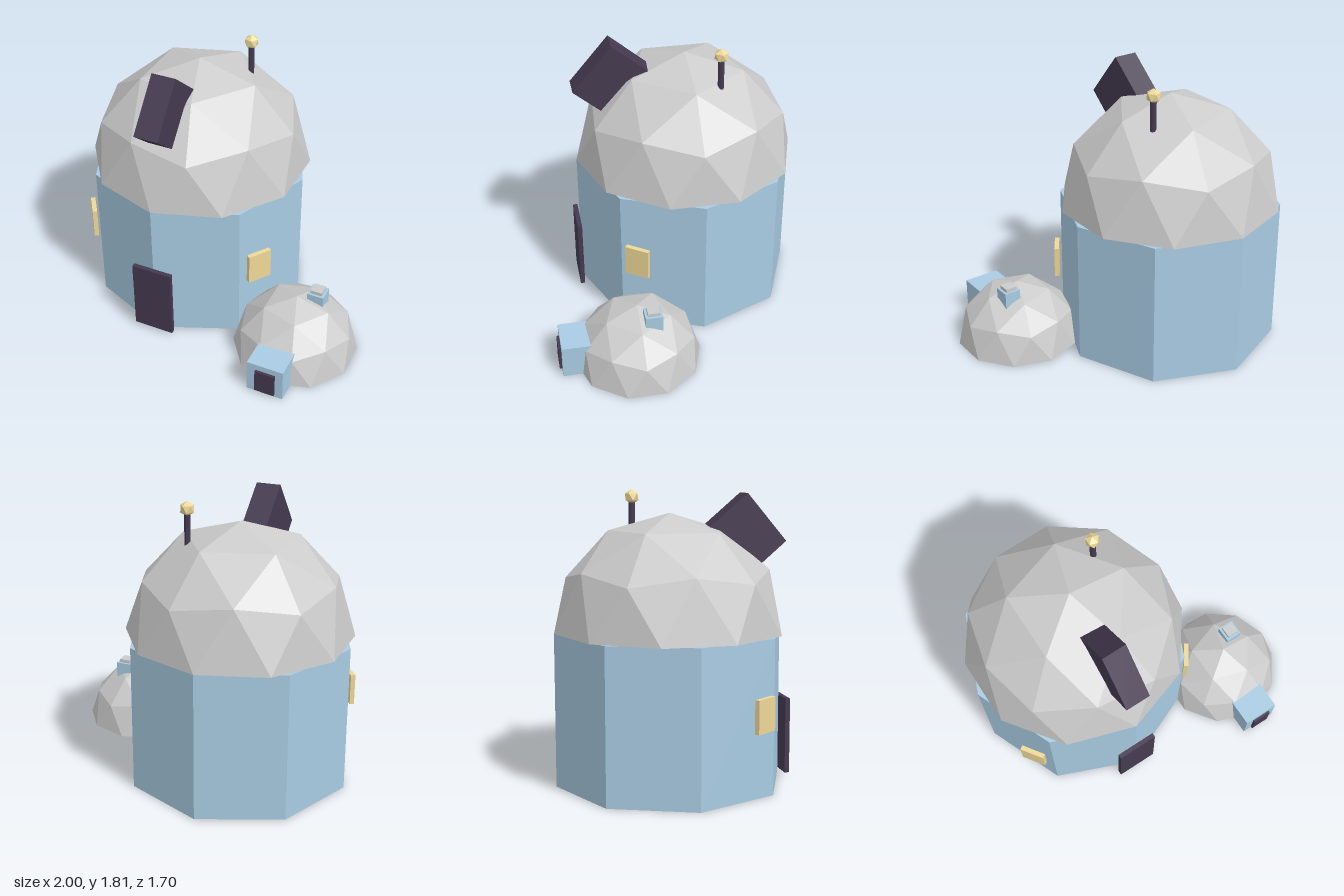
import * as THREE from 'three';

const mat = (color) => new THREE.MeshStandardMaterial({ color, flatShading: true });

// Icosphere with one vertex straight up and an upper-ring vertex on +x
function poleIcosphere(radius, detail) {
  const geo = new THREE.IcosahedronGeometry(radius, detail);
  geo.rotateZ(-Math.atan2(1, (1 + Math.sqrt(5)) / 2));
  return geo;
}

// Faceted dome: the lower half is pressed flat to form the floor
function domeGeometry(radius) {
  const geo = poleIcosphere(radius, 1);
  const pos = geo.attributes.position;
  for (let i = 0; i < pos.count; i++) pos.setY(i, Math.max(0, pos.getY(i)));
  geo.computeVertexNormals();
  return geo;
}

export function createModel() {
  const model = new THREE.Group();
  model.name = 'observatory';
  const grey = mat(0xcccccc);
  const blue = mat(0xa9cce3);
  const dark = mat(0x453a50);
  const gold = mat(0xeed898);

  const add = (name, geo, material, x, y, z, parent = model) => {
    const mesh = new THREE.Mesh(geo, material);
    mesh.name = name;
    mesh.position.set(x, y, z);
    parent.add(mesh);
    return mesh;
  };
  const box = (w, h, d) => new THREE.BoxGeometry(w, h, d);

  // Main tower, centred on its own axis
  const tower = new THREE.Group();
  tower.name = 'tower';
  tower.position.set(-0.28, 0, -0.13);
  model.add(tower);
  add('towerWall', new THREE.CylinderGeometry(0.72, 0.72, 0.95, 8), blue, 0, 0.475, 0, tower);
  add('towerDome', domeGeometry(0.72), grey, 0, 0.95, 0, tower);
  add('towerDoor', box(0.27, 0.48, 0.03), dark, 0, 0.26, 0.735, tower);

  // Telescope housing leaning out of the dome
  const telescope = add('telescope', box(0.16, 0.39, 0.5), dark, 0, 1.478, 0.412, tower);
  telescope.rotation.x = -0.704;

  // Windows mirrored about the tower axis
  for (const side of [1, -1]) {
    const name = side > 0 ? 'leftWindow' : 'rightWindow';
    const pane = add(name, box(0.16, 0.205, 0.03), gold, side * 0.605, 0.517, 0.42, tower);
    pane.rotation.y = side * 0.96;
  }

  // Beacon on the dome
  add('beaconPost', new THREE.CylinderGeometry(0.02, 0.02, 0.24, 8), dark, -0.005, 1.62, -0.305);
  add('beaconBall', poleIcosphere(0.048, 0), gold, -0.005, 1.76, -0.305);

  // Small side hut
  const hut = new THREE.Group();
  hut.name = 'hut';
  hut.position.set(0.615, 0, 0.345);
  model.add(hut);
  add('hutDome', domeGeometry(0.405), grey, 0, 0, 0, hut);
  add('hutPorch', box(0.24, 0.22, 0.24), blue, -0.005, 0.11, 0.372, hut);
  add('hutDoor', box(0.13, 0.16, 0.03), dark, -0.002, 0.098, 0.493, hut);
  add('chimney', box(0.108, 0.125, 0.108), blue, 0.11, 0.36, -0.083, hut);
  add('chimneyCap', box(0.076, 0.03, 0.076), grey, 0.11, 0.43, -0.083, hut);

  return model;
}
